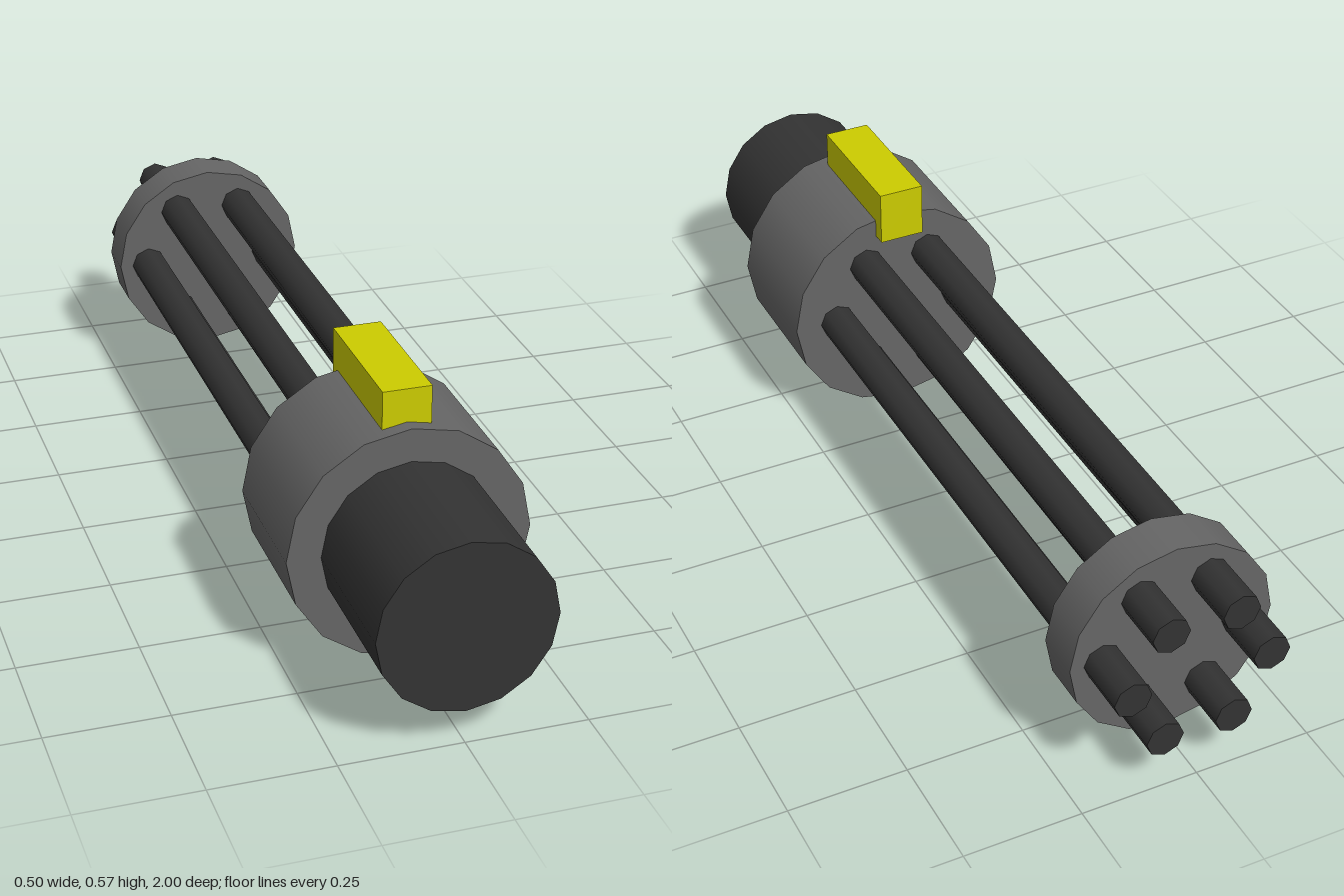
import * as THREE from 'three';

export function createModel() {
  const group = new THREE.Group();
  const axisY = 0.25;
  const dark = new THREE.MeshStandardMaterial({ color: 0x333333 });
  const grey = new THREE.MeshStandardMaterial({ color: 0x666666 });
  const yellow = new THREE.MeshStandardMaterial({ color: 0xcccc00 });

  // Cylinder lying along z between two depths
  function rod(name, radius, zBack, zFront, sides, material, x = 0, y = 0) {
    const geometry = new THREE.CylinderGeometry(radius, radius, zFront - zBack, sides);
    geometry.rotateX(Math.PI / 2);
    const mesh = new THREE.Mesh(geometry, material);
    mesh.name = name;
    mesh.position.set(x, axisY + y, (zBack + zFront) / 2);
    group.add(mesh);
  }

  // Motor, housing and the ring that clamps the barrels
  rod('motor', 0.18, 0.6, 1, 16, dark);
  rod('housing', 0.25, 0.38, 0.68, 16, grey);
  rod('barrelClamp', 0.22, -0.88, -0.78, 16, grey);

  // Six barrels around the axis
  for (let i = 0; i < 6; i++) {
    const a = (i * Math.PI) / 3;
    rod('barrel' + (i + 1), 0.04, -1, 0.4, 8, dark, 0.15 * Math.cos(a), 0.15 * Math.sin(a));
  }

  // Block on top of the housing
  const block = new THREE.Mesh(new THREE.BoxGeometry(0.1, 0.12, 0.3), yellow);
  block.name = 'topBlock';
  block.position.set(0, 0.51, 0.5);
  group.add(block);

  return group;
}
